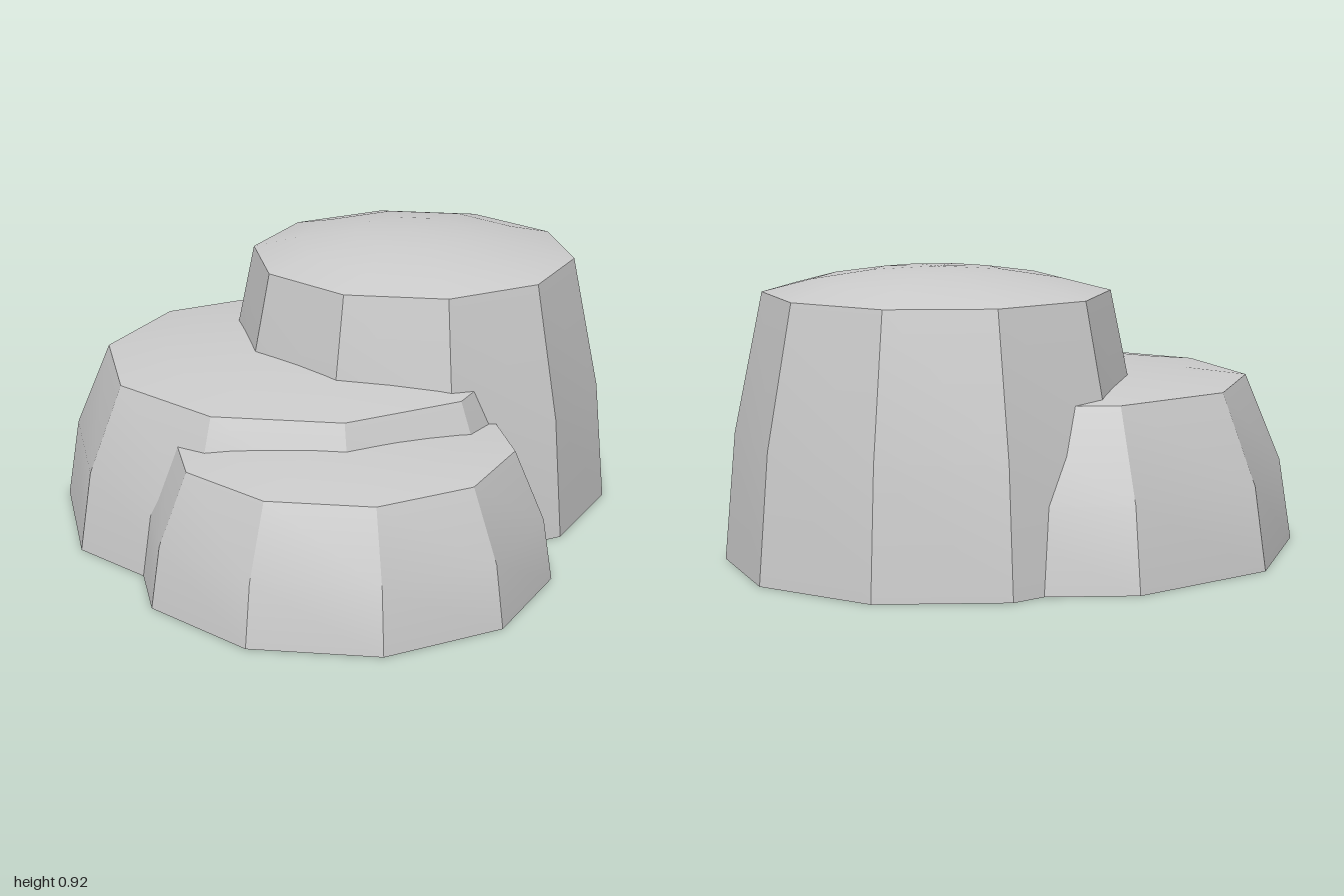
import * as THREE from 'three';
import { toCreasedNormals } from 'three/addons/utils/BufferGeometryUtils.js';

const SIDES = 10;
const material = new THREE.MeshStandardMaterial({ color: 0xcccccc, side: THREE.DoubleSide });

// Ten-sided hollow mound: tapered wall with one bend, shallow domed cap, open base.
// base, bend and rim are [radius, height].
function mound(name, x, z, base, bend, rim, top) {
  const rise = top - rim[1];
  const profile = [
    base, bend, rim,
    [rim[0] * 0.72, rim[1] + rise * 0.5],
    [rim[0] * 0.37, rim[1] + rise * 0.87],
    [0, top],
  ].map(([r, y]) => new THREE.Vector2(r, y));
  const lathe = new THREE.LatheGeometry(profile, SIDES, Math.PI / 2);
  const mesh = new THREE.Mesh(toCreasedNormals(lathe, Math.PI / 6), material);
  mesh.name = name;
  mesh.position.set(x, 0, z);
  return mesh;
}

export function createModel() {
  const group = new THREE.Group();
  group.name = 'steppedRocks';
  group.add(
    mound('tallRock', 0.245, -0.365, [0.665, 0], [0.63, 0.4], [0.54, 0.84], 0.917),
    mound('wideRock', -0.08, -0.14, [0.83, 0], [0.79, 0.26], [0.675, 0.54], 0.587),
    mound('lowRock', 0.105, 0.367, [0.665, 0], [0.635, 0.2], [0.54, 0.425], 0.462),
  );
  return group;
}
